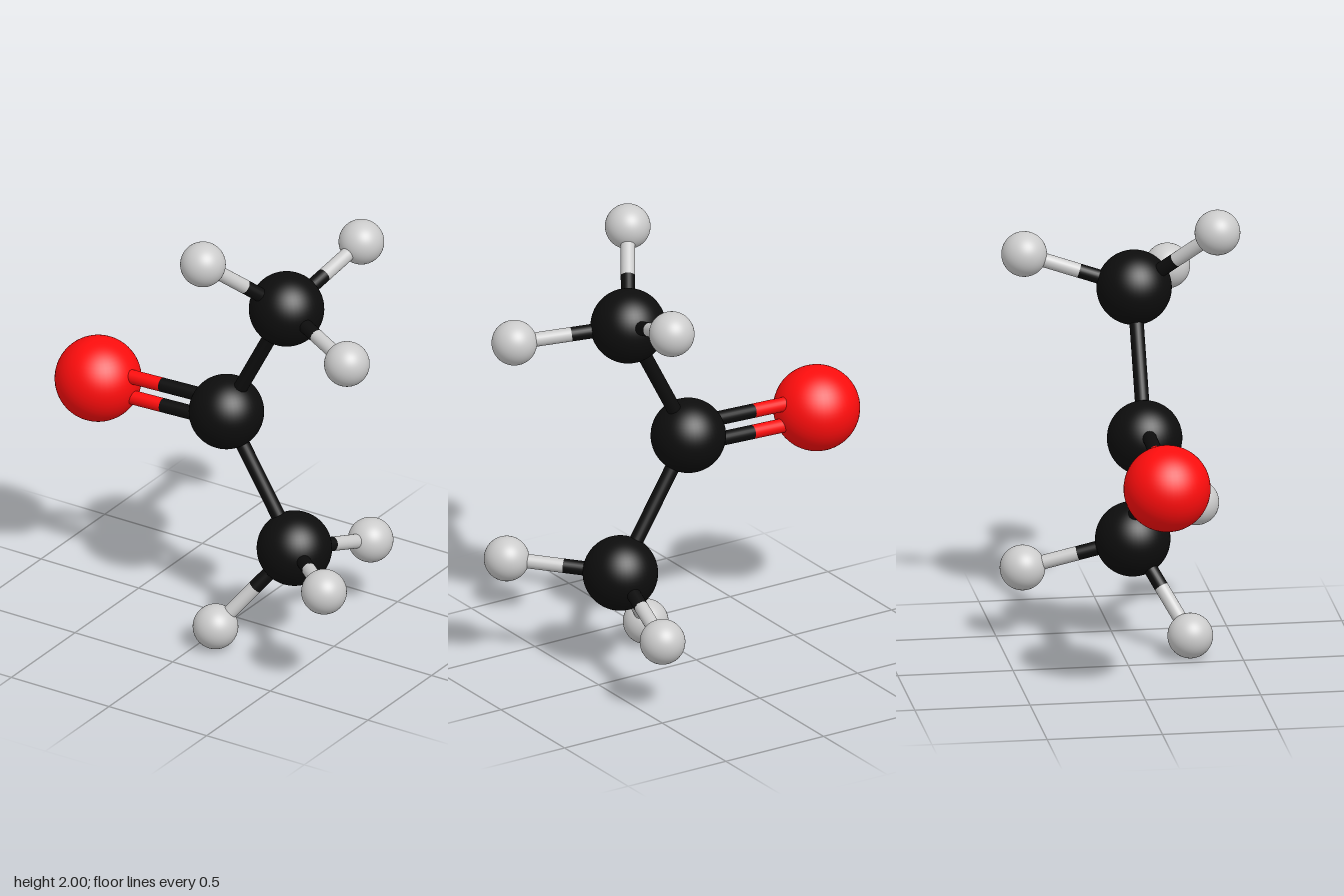
import * as THREE from 'three';

const BOND_RADIUS = 0.031;
const DOUBLE_BOND_OFFSET = 0.049;
const UP = new THREE.Vector3(0, 1, 0);

const carbon = { radius: 0.162, material: new THREE.MeshStandardMaterial({ color: 0x0d0d0d }) };
const oxygen = { radius: 0.187, material: new THREE.MeshStandardMaterial({ color: 0xff0d0d }) };
const hydrogen = { radius: 0.098, material: new THREE.MeshStandardMaterial({ color: 0xcccccc }) };

export function createModel() {
  const model = new THREE.Group();
  model.name = 'moleculeModel';

  function addAtom(name, element, x, y, z) {
    const mesh = new THREE.Mesh(new THREE.SphereGeometry(element.radius, 48, 32), element.material);
    mesh.name = name;
    mesh.position.set(x, y, z);
    model.add(mesh);
    return { element, position: mesh.position };
  }

  // Half of a stick, running from one atom centre to the middle of the bond
  function addHalfBond(name, from, to, material) {
    const direction = to.clone().sub(from);
    const geometry = new THREE.CylinderGeometry(BOND_RADIUS, BOND_RADIUS, direction.length(), 24);
    const mesh = new THREE.Mesh(geometry, material);
    mesh.name = name;
    mesh.position.copy(from).lerp(to, 0.5);
    mesh.quaternion.setFromUnitVectors(UP, direction.normalize());
    model.add(mesh);
  }

  // Each half takes the colour of its own atom
  function addBond(name, a, b, offset = new THREE.Vector3()) {
    const start = a.position.clone().add(offset);
    const end = b.position.clone().add(offset);
    const middle = start.clone().lerp(end, 0.5);
    addHalfBond(name + 'Start', start, middle, a.element.material);
    addHalfBond(name + 'End', end, middle, b.element.material);
  }

  // Central carbon and oxygen, joined by a double bond
  const centre = addAtom('centralCarbon', carbon, -0.005, 1.024, 0.07);
  const oxygenAtom = addAtom('oxygen', oxygen, -0.662, 1.0, 0.07);
  const along = oxygenAtom.position.clone().sub(centre.position).normalize();
  const across = new THREE.Vector3(-along.y, along.x, 0);
  for (const [name, side] of [['lowerDoubleBond', 1], ['upperDoubleBond', -1]]) {
    addBond(name, centre, oxygenAtom, across.clone().multiplyScalar(side * DOUBLE_BOND_OFFSET));
  }

  // Two end groups: a carbon with three hydrogens each
  const endGroups = [
    { name: 'upper', carbon: [0.303, 1.606, 0.07],
      hydrogens: [[0.09, 1.903, 0.4], [0.383, 1.752, -0.395], [0.749, 1.556, 0.28]] },
    { name: 'lower', carbon: [0.343, 0.463, 0.07],
      hydrogens: [[0.71, 0.498, 0.4], [0.43, 0.328, -0.395], [0.076, 0.101, 0.28]] },
  ];
  for (const group of endGroups) {
    const end = addAtom(group.name + 'Carbon', carbon, ...group.carbon);
    addBond(group.name + 'CarbonBond', centre, end);
    group.hydrogens.forEach((position, i) => {
      const h = addAtom(`${group.name}Hydrogen${i + 1}`, hydrogen, ...position);
      addBond(`${group.name}HydrogenBond${i + 1}`, end, h);
    });
  }

  return model;
}
